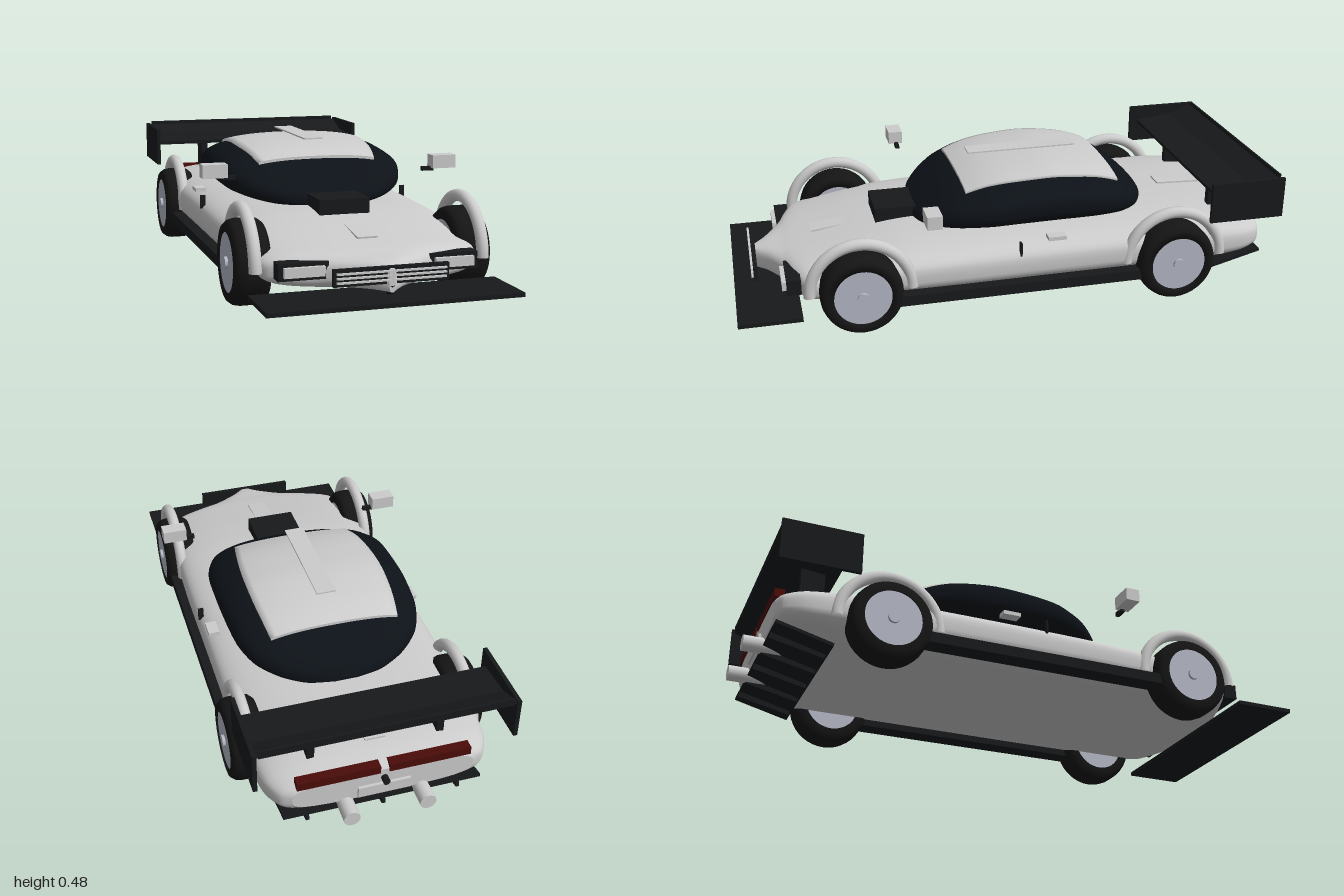
import * as THREE from 'three';

const mat = (color, extra = {}) => new THREE.MeshStandardMaterial({ color, ...extra });
const V = (x, y, z) => new THREE.Vector3(x, y, z);

// Smoothly resample [z, halfWidth, bottom, top] sections
function resample(list, count) {
  const zs = new THREE.CatmullRomCurve3(list.map(s => V(s[0], 0, 0)), false, 'catmullrom', 0.4);
  const rest = new THREE.CatmullRomCurve3(list.map(s => V(s[1], s[2], s[3])), false, 'catmullrom', 0.4);
  return Array.from({ length: count + 1 }, (_, i) => {
    const p = rest.getPoint(i / count);
    return [zs.getPoint(i / count).x, p.x, p.y, p.z];
  });
}

// Superellipse ring; the upper and lower halves can have different squareness
function ring([z, w, yb, yt], nTop, nBottom, count = 64) {
  const c = (yb + yt) / 2, h = (yt - yb) / 2;
  return Array.from({ length: count }, (_, i) => {
    const a = i / count * Math.PI * 2, n = 2 / (i < count / 2 ? nTop : nBottom);
    const pw = v => Math.sign(v) * Math.abs(v) ** n;
    return V(w * pw(Math.cos(a)), c + h * pw(Math.sin(a)), z);
  });
}

// Skin rings ordered by rising z, with flat end caps
function loft(rings) {
  const m = rings[0].length, last = rings.length - 1, pts = rings.flat(), idx = [];
  for (let j = 0; j < last; j++) for (let i = 0; i < m; i++) {
    const a = j * m + i, b = j * m + (i + 1) % m;
    idx.push(a, b, a + m, b, b + m, a + m);
  }
  for (const [r, front] of [[rings[0], false], [rings[last], true]]) {
    const start = pts.length;
    const mid = r.reduce((s, p) => s.add(p), V(0, 0, 0)).divideScalar(m);
    pts.push(...r, mid);
    for (let i = 0; i < m; i++) {
      const a = start + i, b = start + (i + 1) % m;
      idx.push(...(front ? [a, b, start + m] : [b, a, start + m]));
    }
  }
  const g = new THREE.BufferGeometry().setFromPoints(pts);
  g.setIndex(idx);
  g.computeVertexNormals();
  return g;
}

export function createModel() {
  const model = new THREE.Group();
  model.name = 'raceCar';
  const grey = mat(0xcccccc), black = mat(0x17191b), glass = mat(0x0d1218);
  const rubber = mat(0x151515), rim = mat(0xb4b7c4), red = mat(0x4a0c08);

  const add = (name, geo, material, x = 0, y = 0, z = 0, rx = 0) => {
    const mesh = new THREE.Mesh(geo, material);
    mesh.name = name;
    mesh.position.set(x, y, z);
    mesh.rotation.x = rx;
    model.add(mesh);
    return mesh;
  };
  // Box given by its limits on each axis
  const box = (name, material, x0, x1, y0, y1, z0, z1, rx = 0) =>
    add(name, new THREE.BoxGeometry(x1 - x0, y1 - y0, z1 - z0), material,
      (x0 + x1) / 2, (y0 + y1) / 2, (z0 + z1) / 2, rx);
  const pair = (name, material, x0, x1, ...rest) => {
    box(name + 'Left', material, x0, x1, ...rest);
    box(name + 'Right', material, -x1, -x0, ...rest);
  };

  // Body shell, drawn in to a cusp at the nose
  const body = resample([
    [-0.93, 0.31, 0.13, 0.235], [-0.91, 0.35, 0.115, 0.25], [-0.84, 0.385, 0.1, 0.268],
    [-0.7, 0.4, 0.09, 0.28], [-0.45, 0.405, 0.09, 0.285], [-0.1, 0.405, 0.09, 0.285],
    [0.2, 0.405, 0.09, 0.28], [0.4, 0.4, 0.09, 0.272], [0.55, 0.393, 0.09, 0.252],
    [0.67, 0.38, 0.09, 0.23], [0.75, 0.36, 0.09, 0.215], [0.79, 0.28, 0.092, 0.207],
    [0.82, 0.19, 0.095, 0.2], [0.875, 0.085, 0.098, 0.19], [0.935, 0.01, 0.1, 0.175],
  ], 56);
  add('body', loft(body.map(s => ring(s, 2.8, 3.6))), grey);

  // Glass canopy
  const canopy = resample([
    [-0.535, 0.04, 0.27, 0.295], [-0.515, 0.14, 0.265, 0.33], [-0.47, 0.23, 0.262, 0.37],
    [-0.4, 0.3, 0.26, 0.415], [-0.3, 0.335, 0.26, 0.447], [-0.15, 0.346, 0.26, 0.465],
    [0, 0.346, 0.26, 0.455], [0.1, 0.34, 0.26, 0.437], [0.2, 0.303, 0.26, 0.4],
    [0.27, 0.245, 0.26, 0.36], [0.32, 0.17, 0.262, 0.325], [0.345, 0.08, 0.265, 0.3],
    [0.352, 0.02, 0.27, 0.285],
  ], 48);
  add('canopy', loft(canopy.map(s => ring(s, 2.5, 2.5))), glass);

  // Roof panel hugging the canopy
  const canopyY = (x, z) => {
    const i = Math.max(1, canopy.findIndex(s => s[0] >= z));
    const [a, b] = [canopy[i - 1], canopy[i]], t = (z - a[0]) / (b[0] - a[0]);
    const [, w, yb, yt] = a.map((v, k) => v + (b[k] - v) * t);
    return (yb + yt) / 2 + (yt - yb) / 2 * (1 - Math.min(1, Math.abs(x) / w) ** 2.5) ** 0.4;
  };
  const roofRings = [];
  for (let j = 0; j <= 20; j++) {
    const z = -0.395 + 0.565 * j / 20, half = 0.25 - 0.025 * (2 * j / 20 - 0.9) ** 2, r = [];
    for (let i = 0; i <= 24; i++) {
      const x = half * (1 - i / 12);
      r.push(V(x, canopyY(x, z) + 0.01, z));
    }
    roofRings.push([...r, ...r.map(p => V(p.x, p.y - 0.02, z)).reverse()]);
  }
  add('roofPanel', loft(roofRings), grey);

  // Centre stripes and scoop
  box('roofStripe', grey, -0.035, 0.035, 0.477, 0.482, -0.29, 0.12);
  box('hoodStripe', grey, -0.035, 0.035, 0.237, 0.243, 0.51, 0.71, 0.13);
  box('deckStripe', grey, -0.035, 0.035, 0.28, 0.286, -0.83, -0.63, -0.04);
  box('hoodScoop', black, -0.09, 0.09, 0.262, 0.315, 0.27, 0.48);

  // Wheels and arch hoops
  const tyreGeo = new THREE.LatheGeometry([
    [0.1, -0.06], [0.128, -0.06], [0.14, -0.045], [0.144, -0.025],
    [0.144, 0.025], [0.14, 0.045], [0.128, 0.06], [0.1, 0.06], [0.1, -0.06],
  ].map(p => new THREE.Vector2(...p)), 40).rotateZ(-Math.PI / 2);
  const disc = (r, len) => new THREE.CylinderGeometry(r, r, len, 32).rotateZ(Math.PI / 2);
  const hoop = new THREE.TorusGeometry(0.178, 0.021, 14, 40, Math.PI).rotateY(Math.PI / 2);
  for (const [end, z, x] of [['front', 0.575, 0.38], ['rear', -0.565, 0.388]]) {
    for (const [side, s] of [['Left', 1], ['Right', -1]]) {
      add(end + side + 'Tyre', tyreGeo, rubber, s * x, 0.144, z);
      add(end + side + 'Rim', disc(0.101, 0.114), rim, s * x, 0.144, z);
      add(end + side + 'Hub', disc(0.02, 0.13), rim, s * (x + 0.002), 0.144, z);
      add(end + side + 'Arch', hoop, grey, s * 0.388, 0.145, z);
    }
  }

  // Splitter, skirts and door details
  box('splitter', black, -0.42, 0.42, 0.07, 0.084, 0.78, 1);
  pair('skirt', black, 0.36, 0.43, 0.09, 0.128, -0.45, 0.45);
  pair('doorLine', black, 0.385, 0.405, 0.22, 0.27, 0.007, 0.013);
  pair('doorHandle', grey, 0.36, 0.4, 0.266, 0.28, -0.155, -0.09);

  // Mirrors
  pair('mirror', grey, 0.378, 0.466, 0.385, 0.432, 0.3, 0.353);
  pair('mirrorStem', black, 0.345, 0.39, 0.375, 0.39, 0.317, 0.332);

  // Headlights and grille
  pair('headlightHousing', black, 0.17, 0.335, 0.13, 0.186, 0.775, 0.825);
  pair('headlight', grey, 0.185, 0.318, 0.142, 0.174, 0.81, 0.84);
  box('grille', black, -0.19, 0.19, 0.127, 0.182, 0.915, 0.93);
  for (let i = 0; i < 3; i++) {
    const y = 0.14 + i * 0.014;
    box('grilleBar', grey, -0.18, 0.18, y - 0.003, y + 0.003, 0.925, 0.938);
  }
  add('towHook', new THREE.CylinderGeometry(0.022, 0.012, 0.03, 12), black, 0, 0.106, 0.915);

  // Rear wing
  box('wingPlane', black, -0.43, 0.43, 0.378, 0.391, -0.87, -0.71, 0.1);
  box('wingFlap', black, -0.43, 0.43, 0.405, 0.416, -0.95, -0.855, 0.38);
  box('wingLip', black, -0.42, 0.42, 0.418, 0.446, -0.949, -0.942);
  pair('wingEndplate', black, 0.428, 0.442, 0.29, 0.438, -0.957, -0.68);
  pair('wingPylon', black, 0.21, 0.235, 0.245, 0.385, -0.84, -0.755);

  // Tail lights, plate and exhausts
  pair('tailLight', red, 0.015, 0.295, 0.225, 0.255, -0.935, -0.9);
  box('rearPlate', grey, -0.09, 0.09, 0.14, 0.18, -0.94, -0.92);
  add('rearHook', new THREE.CylinderGeometry(0.012, 0.012, 0.03, 12).rotateX(Math.PI / 2),
    black, 0, 0.2, -0.94);
  for (const s of [1, -1]) {
    add('exhaust', new THREE.CylinderGeometry(0.028, 0.028, 0.14, 24).rotateX(Math.PI / 2),
      grey, s * 0.13, 0.115, -0.93);
  }

  // Diffuser with fins
  box('diffuser', black, -0.34, 0.34, 0.08, 0.092, -0.935, -0.73, 0.25);
  for (let i = -2; i <= 2; i++) {
    box('diffuserFin', black, i * 0.13 - 0.006, i * 0.13 + 0.006, 0.062, 0.095, -0.935, -0.74, 0.22);
  }
  return model;
}
